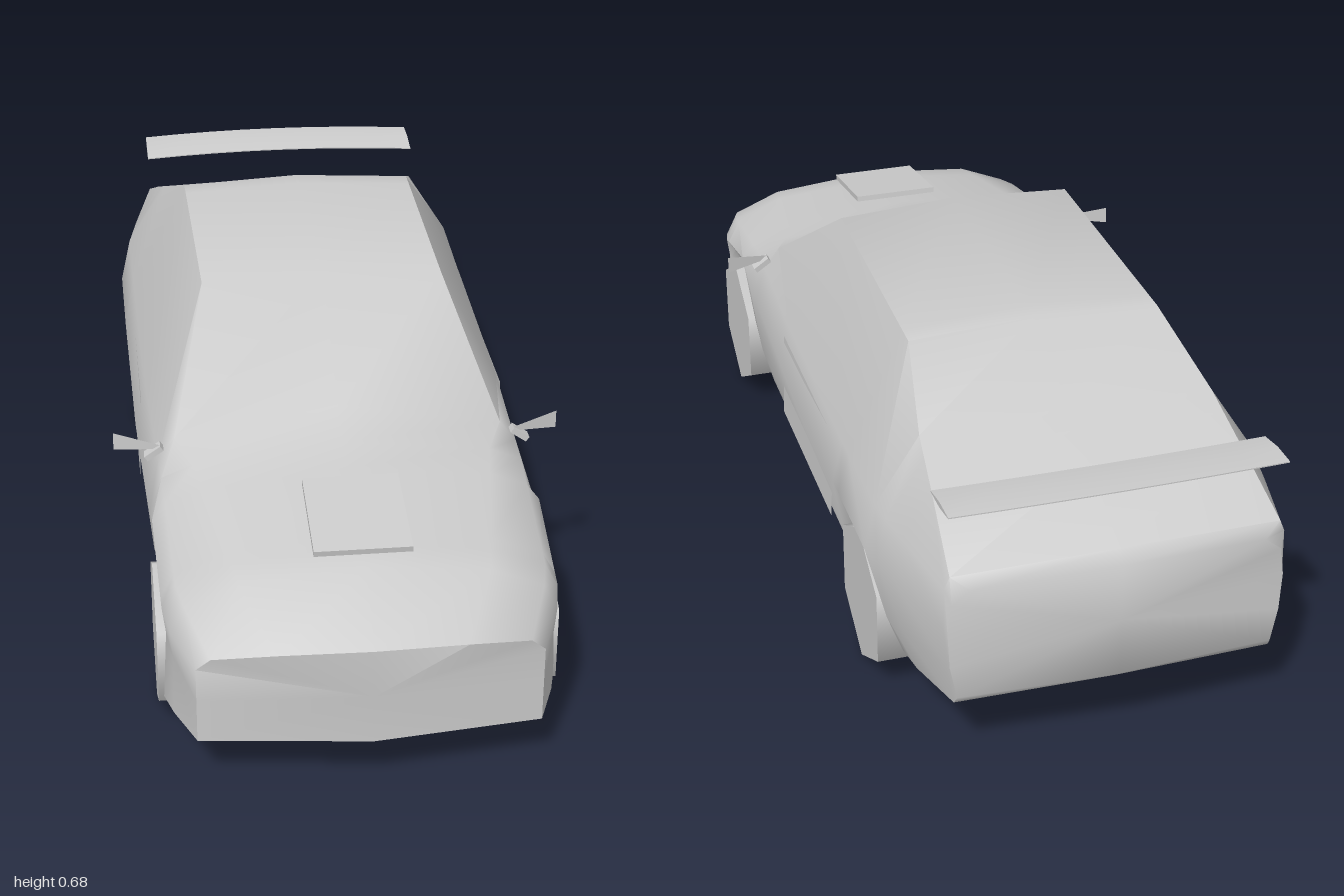
import * as THREE from 'three';
import { toCreasedNormals } from 'three/addons/utils/BufferGeometryUtils.js';

const grey = new THREE.MeshStandardMaterial({ color: 0xcccccc });
const greyThin = new THREE.MeshStandardMaterial({ color: 0xcccccc, side: THREE.DoubleSide });

function add(parent, name, geometry, material = grey) {
  const mesh = new THREE.Mesh(geometry, material);
  mesh.name = name;
  parent.add(mesh);
  return mesh;
}

// A line along the car: straight runs between [z, value] pairs, nose to tail
function trace(...pairs) {
  return (z) => {
    const i = Math.max(1, pairs.findIndex(([pz]) => pz <= z));
    const [z0, v0] = pairs[i - 1], [z1, v1] = pairs[i];
    return THREE.MathUtils.mapLinear(z, z0, z1, v0, v1);
  };
}

// Heights of the body lines
const roofY = trace([0.995, 0.315], [0.85, 0.41], [0.48, 0.475], [0.1, 0.68], [-0.46, 0.672], [-0.975, 0.453], [-0.998, 0.43]);
const edgeY = trace([0.995, 0.31], [0.85, 0.388], [0.48, 0.442], [0.4, 0.46], [0.1, 0.665], [-0.46, 0.658], [-0.975, 0.445], [-0.998, 0.42]);
const shoulderY = trace([0.995, 0.295], [0.85, 0.345], [0.48, 0.415], [-0.46, 0.42], [-0.67, 0.43], [-0.975, 0.42], [-0.998, 0.39]);
const wideY = trace([0.995, 0.27], [0.85, 0.29], [0.56, 0.365], [0.48, 0.335], [-0.998, 0.33]);
const lowY = trace([0.995, 0.2], [0.79, 0.25], [0.76, 0.3], [0.56, 0.335], [0.48, 0.24], [0.4, 0.2], [-0.41, 0.2], [-0.46, 0.28], [-0.67, 0.31], [-0.72, 0.2], [-0.998, 0.25]);
const floorY = trace([0.995, 0.11], [0.79, 0.103], [0.56, 0.115], [-0.77, 0.115], [-0.975, 0.16], [-0.998, 0.18]);

// Half widths, and insets from the widest line
const edgeX = trace([0.995, 0.18], [0.85, 0.24], [0.48, 0.3], [0.4, 0.335], [0.1, 0.255], [-0.46, 0.26], [-0.67, 0.298], [-0.975, 0.325], [-0.998, 0.29]);
const wideX = trace([0.995, 0.33], [0.85, 0.372], [0.79, 0.384], [0.48, 0.392], [0.1, 0.406], [-0.41, 0.41], [-0.67, 0.41], [-0.79, 0.382], [-0.975, 0.337], [-0.998, 0.333]);
const shoulderInset = trace([0.995, 0.028], [-0.67, 0.022], [-0.975, 0.002], [-0.998, 0.008]);
const lowInset = trace([0.995, 0], [0.79, 0.007], [0.76, 0.022], [0.48, 0.01], [0.1, 0.018], [-0.41, 0.022], [-0.46, 0.04], [-0.67, 0.04], [-0.72, 0.017], [-0.998, 0.004]);
const sillX = trace([0.995, 0.33], [0.79, 0.385], [0.76, 0.3], [0.56, 0.3], [0.48, 0.35], [0.4, 0.36], [-0.41, 0.36], [-0.46, 0.3], [-0.67, 0.3], [-0.72, 0.35], [-0.998, 0.315]);

// How far the nose and tail sweep back at the corners
const sweep = trace([0.995, 0.042], [0.85, 0], [-0.79, 0], [-0.975, -0.012], [-0.998, -0.022]);

const stations = [0.995, 0.85, 0.79, 0.76, 0.56, 0.48, 0.4, 0.1, -0.41, -0.46, -0.67, -0.72, -0.79, -0.975, -0.998];

// Closed ring at one station: floor, sill, lower side, widest line, shoulder, roof edge, roof
function section(z) {
  const side = [
    [sillX(z), floorY(z)],
    [wideX(z) - lowInset(z), lowY(z)],
    [wideX(z), wideY(z)],
    [wideX(z) - shoulderInset(z), shoulderY(z)],
    [edgeX(z), edgeY(z)],
  ];
  const mirrored = side.map(([x, y]) => [-x, y]).reverse();
  const ring = [[0, floorY(z) + 0.003], ...side, [0, roofY(z)], ...mirrored];
  return ring.map(([x, y]) => [x, y, z - sweep(z) * (x / 0.33) ** 2]);
}

// Skin neighbouring rings and close both ends with a fan
function loft(rings) {
  const n = rings[0].length, last = rings.length - 1, index = [];
  const points = rings.flat();
  for (let j = 0; j < n; j++) {
    const k = (j + 1) % n;
    for (let i = 0; i < last; i++) {
      const a = i * n + j, b = i * n + k;
      index.push(a, a + n, b, b, a + n, b + n);
    }
    index.push(points.length, j, k, points.length + 1, last * n + k, last * n + j);
  }
  for (const ring of [rings[0], rings[last]]) {
    points.push([0, (ring[0][1] + ring[n / 2][1]) / 2, ring[0][2]]);
  }
  const g = new THREE.BufferGeometry();
  g.setAttribute('position', new THREE.Float32BufferAttribute(points.flat(), 3));
  g.setIndex(index);
  return toCreasedNormals(g, 0.95);
}

// Thin four-cornered sheet
function sheet(...corners) {
  const g = new THREE.BufferGeometry();
  g.setAttribute('position', new THREE.Float32BufferAttribute(corners.flat(), 3));
  g.setIndex([0, 1, 2, 0, 2, 3]);
  g.computeVertexNormals();
  return g;
}

export function createModel() {
  const car = new THREE.Group();
  car.name = 'car';

  // Body shell, nose to tail; narrow sills form the wheel arches
  add(car, 'body', loft(stations.map(section)));

  // Six-sided wheels
  for (const [axle, z] of [['front', 0.635], ['rear', -0.56]]) {
    for (const s of [1, -1]) {
      const g = new THREE.CylinderGeometry(0.155, 0.155, 0.125, 6, 1, false, Math.PI / 6);
      const wheel = add(car, axle + (s > 0 ? 'LeftWheel' : 'RightWheel'), g.rotateZ(Math.PI / 2));
      wheel.position.set(s * 0.3325, 0.155, z);
    }
  }

  // Parts repeated on each side
  for (const s of [1, -1]) {
    const side = s > 0 ? 'left' : 'right';

    add(car, side + 'DoorPanel', sheet(
      [s * 0.4, 0.205, 0.1], [s * 0.4, 0.205, -0.345],
      [s * 0.392, 0.395, -0.345], [s * 0.392, 0.395, 0.1]), greyThin);

    // Mirror: flared blade on a short arm
    const mirror = new THREE.Group();
    mirror.name = side + 'Mirror';
    car.add(mirror);
    add(mirror, 'mirrorBlade', sheet(
      [s * 0.365, 0.437, 0.4], [s * 0.458, 0.427, 0.375],
      [s * 0.458, 0.465, 0.375], [s * 0.365, 0.446, 0.4]), greyThin);
    const arm = add(mirror, 'mirrorArm', new THREE.BoxGeometry(0.04, 0.012, 0.025));
    arm.position.set(s * 0.377, 0.43, 0.395);
    arm.rotation.z = -s * 0.6;

    // Small lamp and exhaust tip
    const lamp = add(car, side + 'Lamp', new THREE.ConeGeometry(0.008, 0.02, 3));
    lamp.position.set(s * 0.315, 0.318, 0.89);
    lamp.rotation.x = Math.PI / 2;
    const tip = add(car, side + 'ExhaustTip', new THREE.BoxGeometry(0.025, 0.01, 0.06));
    tip.position.set(s * 0.2, 0.142, -0.9);
  }

  // Raised panel on the bonnet
  const scoop = add(car, 'bonnetScoop', new THREE.BoxGeometry(0.19, 0.012, 0.22));
  scoop.position.set(0, 0.442, 0.71);
  scoop.rotation.x = 0.17;

  // Thin bowed rear wing
  const wing = new THREE.BoxGeometry(0.66, 0.012, 0.115, 8, 1, 2);
  const p = wing.attributes.position;
  for (let i = 0; i < p.count; i++) {
    const bow = 1 - (p.getX(i) / 0.33) ** 2;
    const chord = p.getZ(i) / 0.0575;
    const thin = 1 - 0.8 * Math.abs(chord);
    p.setY(i, p.getY(i) * thin + 0.006 * bow - 0.006 * chord);
    p.setZ(i, p.getZ(i) - 0.014 * bow);
  }
  wing.computeVertexNormals();
  add(car, 'rearWing', wing).position.set(0, 0.574, -0.917);

  return car;
}
